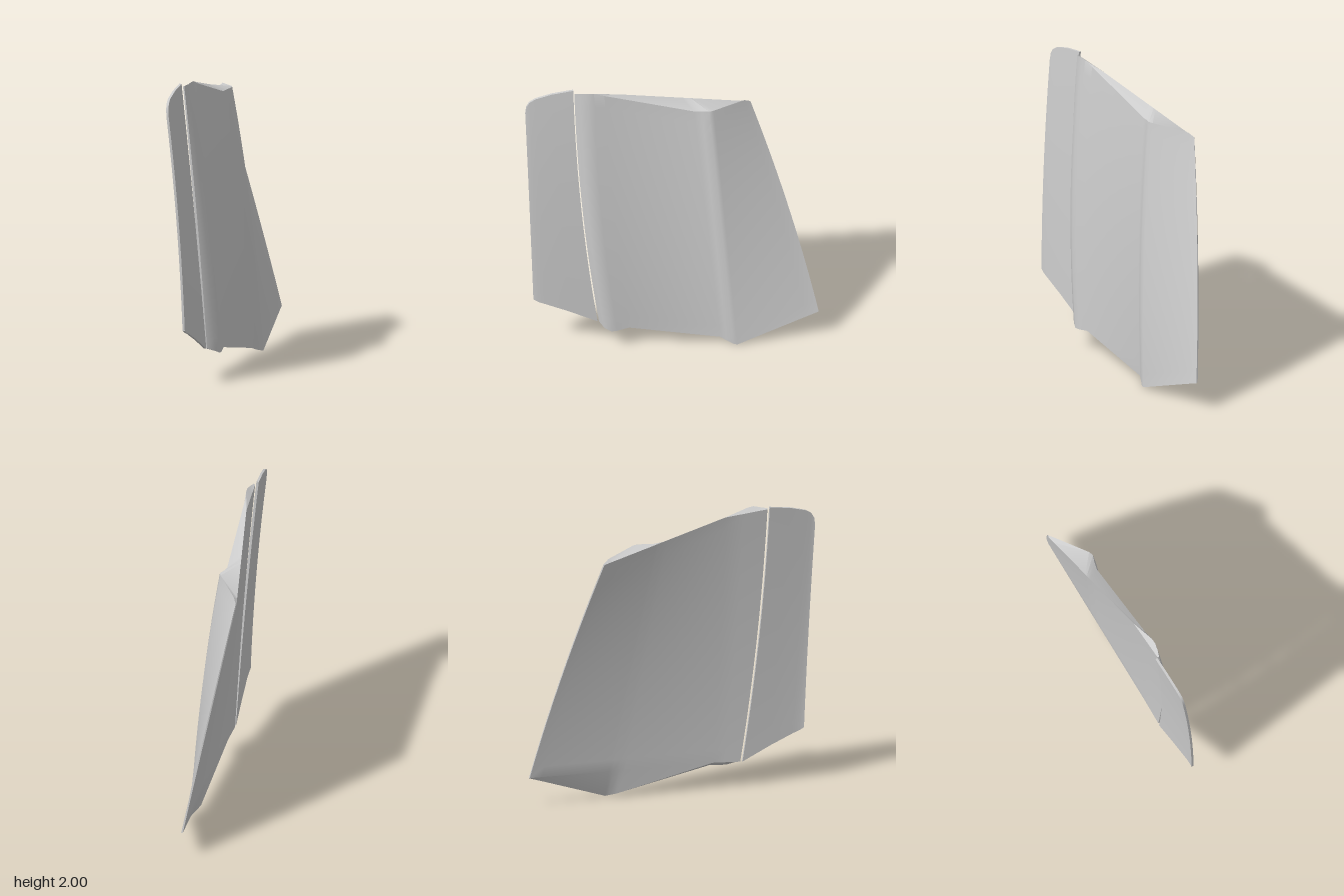
import * as THREE from 'three';
import { toCreasedNormals } from 'three/addons/utils/BufferGeometryUtils.js';

const ROWS = 20;
const material = new THREE.MeshStandardMaterial({ color: 0xcccccc, side: THREE.DoubleSide });

// A rib runs from a bottom point to a top point, bowed by bx and bz at mid height.
function ribPoint([xb, yb, zb, xt, yt, zt, bx = 0, bz = 0], t) {
  const bow = 4 * t * (1 - t);
  return [xb + (xt - xb) * t + bx * bow, yb + (yt - yb) * t, zb + (zt - zb) * t + bz * bow];
}

// Closed shell between paired outer and inner ribs, listed from front to rear.
function shell(name, outer, inner) {
  const n = outer.length;
  const loop = [...outer, ...[...inner].reverse()];
  const count = loop.length;
  const positions = [], index = [];
  for (let j = 0; j <= ROWS; j++)
    for (const rib of loop) positions.push(...ribPoint(rib, j / ROWS));
  const quad = (a, b, c, d) => index.push(a, b, c, a, c, d);
  for (let j = 0; j < ROWS; j++)
    for (let i = 0; i < count; i++) {
      const k = (i + 1) % count, r = j * count;
      quad(r + i, r + k, r + count + k, r + count + i);
    }
  // top and bottom rims
  const top = ROWS * count;
  for (let i = 0; i < n - 1; i++) {
    const p = count - 1 - i;
    quad(top + i, top + i + 1, top + p - 1, top + p);
    quad(p, p - 1, i + 1, i);
  }
  const geometry = new THREE.BufferGeometry();
  geometry.setAttribute('position', new THREE.Float32BufferAttribute(positions, 3));
  geometry.setIndex(index);
  const mesh = new THREE.Mesh(toCreasedNormals(geometry, 0.7), material);
  mesh.name = name;
  return mesh;
}

// Rib at fraction s between two ribs
const mix = (a, b, s) => a.map((v, i) => v + (b[i] - v) * s);

export function createModel() {
  const group = new THREE.Group();
  group.name = 'foldedPanel';

  // Main panel: bevelled front lip, flat middle, raised crest and swept rear wing
  const outer = [
    [0.06, 0.18, 0.495, -0.05, 1.985, 0.65, 0.02, 0.03],
    [0.108, 0.16, 0.465, -0.035, 1.99, 0.61, 0.025, 0.03],
    [0.128, 0.14, 0.42, -0.024, 2.0, 0.56, 0.025, 0.03],
    [0.126, 0.142, 0.38, -0.024, 1.995, 0.52, 0.025, 0.03],
    [0.115, 0.155, 0.3, -0.03, 1.97, 0.45, 0.025, 0.02],
    [0.115, 0.035, -0.31, -0.03, 1.8, -0.15, 0.025, 0],
    [0.135, 0.018, -0.35, -0.018, 1.805, -0.2, 0.028, 0],
    [0.16, 0.004, -0.395, 0, 1.812, -0.25, 0.03, 0],
    [0.165, 0, -0.42, -0.01, 1.812, -0.28, 0.03, 0],
    [0.127, 0.17, -0.885, -0.145, 1.785, -0.5, 0.005, -0.02],
    [0.12, 0.2, -0.97, -0.165, 1.76, -0.54, 0, -0.025],
  ];
  // Nearly flat back skin
  const front = [0.045, 0.18, 0.49, -0.06, 1.98, 0.645, 0.015, 0.03];
  const middle = [0.055, 0.19, 0.3, -0.06, 1.955, 0.35, 0.015, 0.02];
  const rear = [0.108, 0.205, -0.968, -0.17, 1.755, -0.535, 0, -0.025];
  const inner = outer.map((rib, i) => {
    if (i <= 4) return mix(front, middle, (0.495 - rib[2]) / 0.195);
    return mix(middle, rear, (0.3 - rib[2]) / 1.27);
  });
  group.add(shell('mainPanel', outer, inner));

  // Thin front flap, its top corner rounded: [bottom y, bottom z, top y, top z]
  const flap = [
    [0.18, 0.505, 2.0, 0.655], [0.275, 0.7, 1.98, 0.8], [0.345, 0.86, 1.95, 0.91],
    [0.36, 0.9, 1.925, 0.95], [0.372, 0.92, 1.89, 0.97], [0.38, 0.932, 1.84, 0.977],
  ];
  const flapRibs = (offset) => flap.map(([yb, zb, yt, zt], i) => [
    0.05 - i * 0.003 + offset, yb, zb, -0.075 + (2 - yt) * 0.07 + offset, yt, zt,
    0.015, i === 0 ? 0.03 : 0,
  ]);
  group.add(shell('frontFlap', flapRibs(0.008), flapRibs(-0.008)));

  return group;
}
